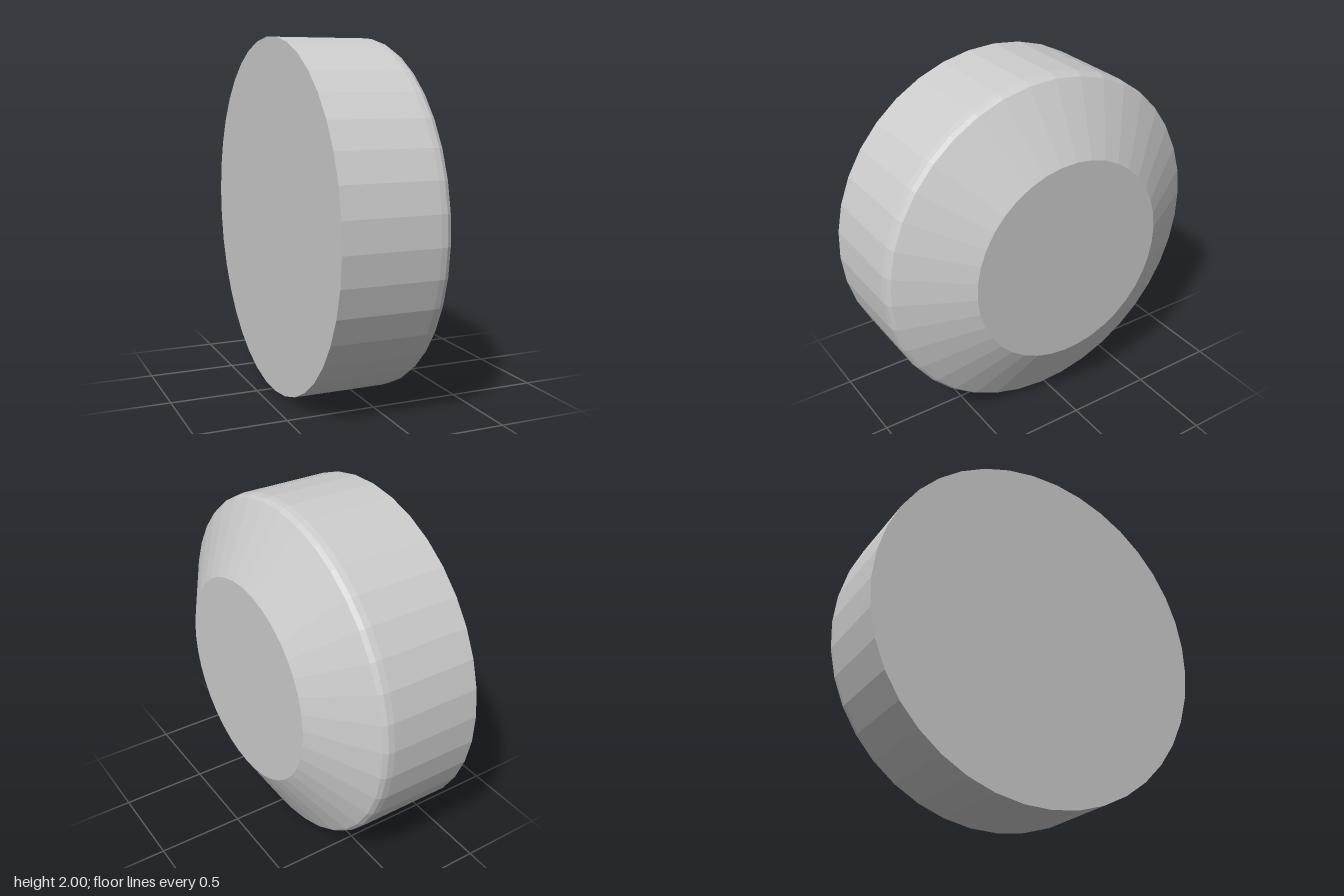
import * as THREE from 'three';

const SIDES = 38;

export function createModel() {
  const group = new THREE.Group();
  group.name = 'bevelledKnob';
  const material = new THREE.MeshStandardMaterial({ color: 0xcccccc, flatShading: true });

  // Profile as (radius, height along the axis): back cap, rim wall, rounded bevel, cone, front cap
  const profile = [
    [0, -0.405], [1, -0.405], [1, 0.125], [0.995, 0.16], [0.98, 0.185], [0.595, 0.405], [0, 0.405],
  ].map(([r, h]) => new THREE.Vector2(r, h));

  // Quarter-step turn places the facet edges
  const geometry = new THREE.LatheGeometry(profile, SIDES, Math.PI / 2 / SIDES);
  geometry.rotateZ(-Math.PI / 2); // axis along x, cone towards +x
  geometry.translate(0, 1, 0);

  const body = new THREE.Mesh(geometry, material);
  body.name = 'knobBody';
  group.add(body);
  return group;
}
